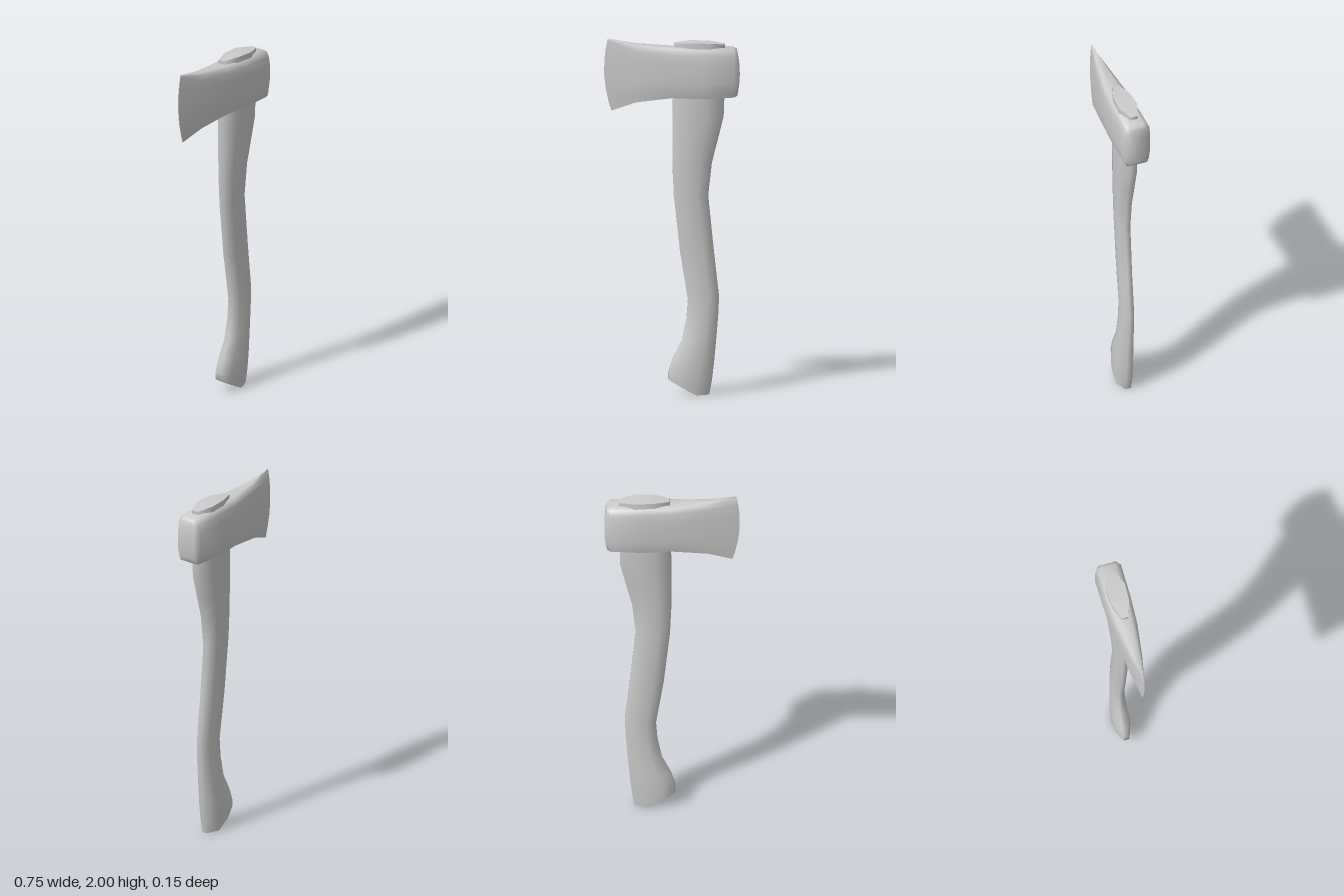
import * as THREE from 'three';
import { toCreasedNormals } from 'three/addons/utils/BufferGeometryUtils.js';

// Skins matching rings of [x, y, z]; each ring runs up the -z half and back along the +z half.
function loft(rings, crease) {
  const n = rings[0].length;
  const index = [];
  const quad = (a, b, c, d) => index.push(a, b, c, a, c, d);
  for (let i = 0; i < rings.length - 1; i++) {
    for (let j = 0; j < n; j++) {
      const k = (j + 1) % n;
      quad(i * n + j, i * n + k, (i + 1) * n + k, (i + 1) * n + j);
    }
  }
  // End caps: strips between mirrored points
  const last = (rings.length - 1) * n;
  for (let j = 0; j < n / 2 - 1; j++) {
    quad(last + j, last + j + 1, last + n - 2 - j, last + n - 1 - j);
    quad(n - 1 - j, n - 2 - j, j + 1, j);
  }
  const geometry = new THREE.BufferGeometry();
  geometry.setAttribute('position', new THREE.Float32BufferAttribute(rings.flat(2), 3));
  geometry.setIndex(index);
  return toCreasedNormals(geometry, crease);
}

// Completes a half ring (z < 0) with its mirror image
const mirrorRing = (half) => [...half, ...half.map(([x, y, z]) => [x, y, -z]).reverse()];

function createHandle() {
  // Left x, left y, right x, right y, half depth
  const stations = [
    [-0.02, 0.085, 0.205, 0.0, 0.044],
    [-0.02, 0.125, 0.22, 0.08, 0.048],
    [0.005, 0.2, 0.232, 0.18, 0.047],
    [0.055, 0.3, 0.245, 0.32, 0.04],
    [0.08, 0.42, 0.255, 0.44, 0.036],
    [0.088, 0.53, 0.26, 0.55, 0.034],
    [0.045, 0.8, 0.23, 0.82, 0.034],
    [0.01, 1.12, 0.2, 1.12, 0.037],
    [0.003, 1.28, 0.22, 1.3, 0.041],
    [0.003, 1.4, 0.25, 1.42, 0.046],
    [0.003, 1.55, 0.285, 1.56, 0.052],
    [0.005, 1.7, 0.29, 1.7, 0.056],
    [0.012, 1.973, 0.293, 1.965, 0.055],
  ];
  // Eight-sided section: fraction across the width, fraction of the half depth
  const section = [[1, 0.38], [0.68, 1], [0.31, 0.9], [0, 0.36]];
  const rings = stations.map(([xl, yl, xr, yr, depth], i) =>
    mirrorRing(section.map(([f, d]) => {
      const t = i === 0 ? Math.min(1, f / 0.65) : f; // butt is cut off at a slant
      const crown = i === stations.length - 1 && d > 0.5 ? 0.008 : 0;
      return [xl + (xr - xl) * f, yl + (yr - yl) * t + crown, -depth * d];
    })));
  return loft(rings, 1.3);
}

function createHead() {
  // x, lean, bow, bottom y, top y, half thickness
  const stations = [
    [-0.375, -0.01, 0.03, 1.595, 2.0, 0.002],
    [-0.2, 0, 0, 1.645, 1.97, 0.037],
    [0, 0, 0, 1.672, 1.952, 0.066],
    [0.16, 0, 0, 1.666, 1.95, 0.075],
    [0.34, 0, 0, 1.674, 1.944, 0.077],
    [0.373, 0, -0.014, 1.682, 1.934, 0.057],
  ];
  // Section: fraction of the height, fraction of the half thickness
  const section = [[0, 0.82], [0.1, 0.93], [0.3, 1], [0.5, 1], [0.7, 1], [0.87, 0.94], [0.97, 0.8], [1, 0.5]];
  const rings = stations.map(([x, lean, bow, bottom, top, depth]) =>
    mirrorRing(section.map(([v, d]) => {
      const s = 2 * v - 1;
      return [x + lean * s + bow * s * s, bottom + (top - bottom) * v, -depth * d];
    })));
  return loft(rings, 1.1);
}

export function createModel() {
  const group = new THREE.Group();
  group.name = 'axe';
  const material = new THREE.MeshStandardMaterial({ color: 0xcccccc });
  const parts = { handle: createHandle(), axeHead: createHead() };
  for (const [name, geometry] of Object.entries(parts)) {
    const mesh = new THREE.Mesh(geometry, material);
    mesh.name = name;
    group.add(mesh);
  }
  return group;
}
